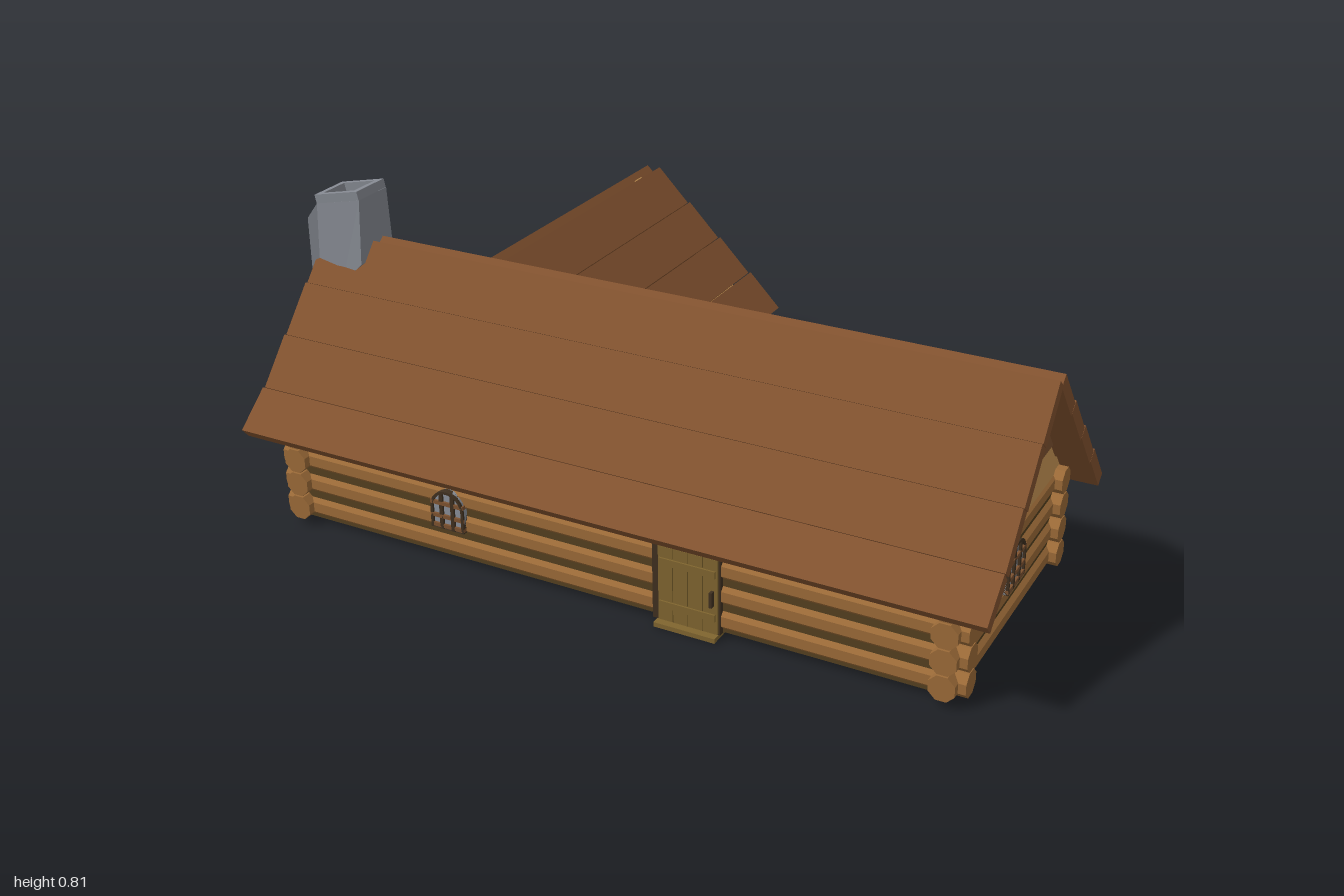
import * as THREE from 'three';

const mat = (color) => new THREE.MeshStandardMaterial({ color, flatShading: true });
const logMat = mat(0x9c6b38), chinkMat = mat(0x54401f), roofMat = mat(0x82522f), gableMat = mat(0xc99655);
const boardMat = mat(0x7d5230), floorMat = mat(0x3d2d20), stoneMat = mat(0x858991), bandMat = mat(0x5a5d64);
const doorMat = mat(0x80652f), darkMat = mat(0x3f3020), paneMat = mat(0x8a8f98);

function add(parent, name, geo, material) {
  const mesh = new THREE.Mesh(geo, material);
  mesh.name = name;
  parent.add(mesh);
  return mesh;
}

// box given by its min and max corners
function block(parent, name, a, b, material) {
  const geo = new THREE.BoxGeometry(b[0] - a[0], b[1] - a[1], b[2] - a[2]);
  geo.translate((a[0] + b[0]) / 2, (a[1] + b[1]) / 2, (a[2] + b[2]) / 2);
  return add(parent, name, geo, material);
}

const polygon = (pts) => new THREE.Shape(pts.map(([x, y]) => new THREE.Vector2(x, y)));
const extrude = (shape, depth) => new THREE.ExtrudeGeometry(shape, { depth, bevelEnabled: false, curveSegments: 6 });

// four stacked logs with dark filling between them, along x or z
function logWall(parent, name, axis, from, to, at) {
  const wall = new THREE.Group();
  wall.name = name;
  for (let i = 0; i < 4; i++) {
    const geo = new THREE.CylinderGeometry(0.034, 0.034, to - from, 8);
    geo.rotateY(Math.PI / 8);
    if (axis === 'x') geo.rotateZ(Math.PI / 2); else geo.rotateX(Math.PI / 2);
    const y = 0.048 + i * 0.0667, mid = (from + to) / 2;
    geo.translate(axis === 'x' ? mid : at, y, axis === 'x' ? at : mid);
    add(wall, 'log', geo, logMat);
  }
  const a = from + 0.06, b = to - 0.06, t = 0.021;
  if (axis === 'x') block(wall, 'filling', [a, 0.015, at - t], [b, 0.27, at + t], chinkMat);
  else block(wall, 'filling', [at - t, 0.015, a], [at + t, 0.27, b], chinkMat);
  parent.add(wall);
}

// cross-section of roof plank i on one side (+1 or -1) of the ridge
function plankSection(side, i, top, rise, sag = 0) {
  const x0 = 0.02 + 0.1 * i, y0 = top - rise * i;
  const x1 = x0 + 0.093, y1 = y0 - rise - 0.003 + sag;
  const len = Math.hypot(x1 - x0, y1 - y0), t = 0.034;
  const nx = ((y0 - y1) / len) * t, ny = ((x1 - x0) / len) * t;
  return polygon([[x0, y0], [x1, y1], [x1 - nx, y1 - ny], [x0 - nx, y0 - ny]].map(([x, y]) => [side * x, y]));
}

// triangular gable with two horizontal boards, facing +z, base centre at x = 0
function gable(top) {
  const g = new THREE.Group();
  g.name = 'gable';
  const base = 0.262, half = 0.36;
  const w = (y) => (half * (top - y)) / (top - base);
  add(g, 'gablePanel', extrude(polygon([[-half, base], [half, base], [0, top]]), 0.03), gableMat);
  for (const [f0, f1] of [[0.28, 0.45], [0.52, 0.67]]) {
    const y0 = base + f0 * (top - base), y1 = base + f1 * (top - base);
    add(g, 'gableBoard', extrude(polygon([[-w(y0), y0], [w(y0), y0], [w(y1), y1], [-w(y1), y1]]), 0.036), boardMat);
  }
  return g;
}

function arch(w, h) {
  const s = new THREE.Shape(), r = w / 2;
  s.moveTo(-r, 0);
  s.lineTo(r, 0);
  s.lineTo(r, h - r);
  s.absarc(0, h - r, r, 0, Math.PI, false);
  s.closePath();
  return s;
}

// arched window with crossing bars, facing +z
function archWindow(w, h) {
  const g = new THREE.Group();
  g.name = 'window';
  add(g, 'pane', extrude(arch(w, h), 0.012), paneMat);
  const frame = arch(w, h);
  frame.holes.push(arch(w - 0.014, h - 0.007));
  add(g, 'windowFrame', extrude(frame, 0.018), darkMat);
  for (const s of [-1, 1]) {
    const x = s * w * 0.17;
    block(g, 'uprightBar', [x - 0.005, 0, 0], [x + 0.005, h * 0.95, 0.018], darkMat);
  }
  for (const f of [0.03, 0.28, 0.62]) {
    block(g, 'crossBar', [-w / 2, h * f, 0], [w / 2, h * f + 0.01, 0.018], boardMat);
  }
  return g;
}

function place(parent, part, x, y, z, turn = 0) {
  part.position.set(x, y, z);
  part.rotation.y = turn;
  parent.add(part);
}

export function createModel() {
  const house = new THREE.Group();
  house.name = 'logCabin';
  const ridgeZ = 0.28, wingX = -0.55;

  // floors
  block(house, 'mainFloor', [-0.855, 0, -0.035], [0.89, 0.03, 0.59], floorMat);
  block(house, 'wingFloor', [-0.855, 0, -0.59], [-0.245, 0.03, -0.035], floorMat);

  // log walls
  logWall(house, 'frontWall', 'x', -0.905, 0.94, 0.59);
  logWall(house, 'backWall', 'x', -0.3, 0.94, -0.035);
  logWall(house, 'wingBackWall', 'x', -0.905, -0.195, -0.59);
  logWall(house, 'rightWall', 'z', -0.64, 0.64, -0.855);
  logWall(house, 'leftWall', 'z', -0.085, 0.64, 0.89);
  logWall(house, 'wingInnerWall', 'z', -0.64, 0, -0.245);

  // gables
  place(house, gable(0.655), 0.885, 0, ridgeZ, Math.PI / 2);
  place(house, gable(0.655), -0.85, 0, ridgeZ, -Math.PI / 2);
  place(house, gable(0.6), wingX, 0, -0.585, Math.PI);

  // roofs: the wing planks are cut where they meet the main roof
  const valley = (y) => ridgeZ - 0.01 - (0.667 - y) * 0.935;
  for (const side of [-1, 1]) {
    for (let i = 0; i < 4; i++) {
      const sag = side > 0 && i === 3 ? 0.03 : 0;
      const main = extrude(plankSection(side, i, 0.667, 0.107, sag), 1.97);
      main.rotateY(-Math.PI / 2);
      main.translate(1, 0, ridgeZ);
      add(house, 'mainRoofPlank', main, roofMat);

      const wing = extrude(plankSection(side, i, 0.61, 0.092), 0.7);
      wing.translate(wingX, 0, -0.69);
      const p = wing.attributes.position;
      for (let v = 0; v < p.count; v++) if (p.getZ(v) > -0.3) p.setZ(v, valley(p.getY(v)));
      wing.computeVertexNormals();
      add(house, 'wingRoofPlank', wing, roofMat);
    }
  }

  // post beside the right wall
  const post = add(house, 'post', new THREE.CylinderGeometry(0.02, 0.02, 0.27, 8), logMat);
  post.position.set(-0.9, 0.145, -0.08);

  // windows
  place(house, archWindow(0.095, 0.105), -0.4, 0.098, 0.615);
  place(house, archWindow(0.115, 0.115), 0.915, 0.13, 0.285, Math.PI / 2);
  place(house, archWindow(0.115, 0.115), wingX, 0.13, -0.615, Math.PI);

  // door with frame, planks, handle and step
  const door = new THREE.Group();
  door.name = 'door';
  block(door, 'doorFrame', [0.168, 0.012, 0.6], [0.345, 0.22, 0.625], darkMat);
  for (let i = 0; i < 4; i++) {
    const x = 0.186 + i * 0.039;
    block(door, 'doorPlank', [x, 0.015, 0.61], [x + 0.037, 0.212, 0.63], doorMat);
  }
  for (const y of [0.05, 0.165]) block(door, 'doorBrace', [0.19, y, 0.62], [0.335, y + 0.018, 0.634], doorMat);
  block(door, 'doorHandle', [0.324, 0.09, 0.625], [0.331, 0.13, 0.642], darkMat);
  block(door, 'doorStep', [0.18, 0, 0.58], [0.34, 0.012, 0.645], doorMat);
  house.add(door);

  // chimney climbing the right gable and bending in over the ridge
  const chimney = new THREE.Group();
  chimney.name = 'chimney';
  const cz = 0.288;
  block(chimney, 'chimneyFoot', [-1, 0.015, cz - 0.08], [-0.89, 0.045, cz + 0.08], bandMat);
  const shaft = extrude(polygon([[-0.98, 0.04], [-0.885, 0.04], [-0.885, 0.56], [-0.82, 0.62],
    [-0.82, 0.79], [-0.955, 0.76], [-0.98, 0.72]]), 0.136);
  shaft.translate(0, 0, cz - 0.068);
  // the sides narrow towards the top
  const p = shaft.attributes.position;
  for (let v = 0; v < p.count; v++) {
    if (p.getY(v) > 0.74) p.setZ(v, cz + (p.getZ(v) - cz) * 0.84);
  }
  shaft.computeVertexNormals();
  add(chimney, 'chimneyShaft', shaft, stoneMat);
  for (const y of [0.345, 0.525]) {
    block(chimney, 'chimneyBand', [-0.995, y, cz - 0.076], [-0.88, y + 0.018, cz + 0.076], bandMat);
  }
  const rimShape = polygon([[-0.069, -0.057], [0.069, -0.057], [0.069, 0.057], [-0.069, 0.057]]);
  rimShape.holes.push(polygon([[-0.05, -0.042], [0.05, -0.042], [0.05, 0.042], [-0.05, 0.042]]));
  const rim = extrude(rimShape, 0.024);
  rim.rotateX(-Math.PI / 2);
  rim.rotateZ(0.22);
  rim.translate(-0.888, 0.774, cz);
  add(chimney, 'chimneyRim', rim, stoneMat);
  house.add(chimney);

  return house;
}
